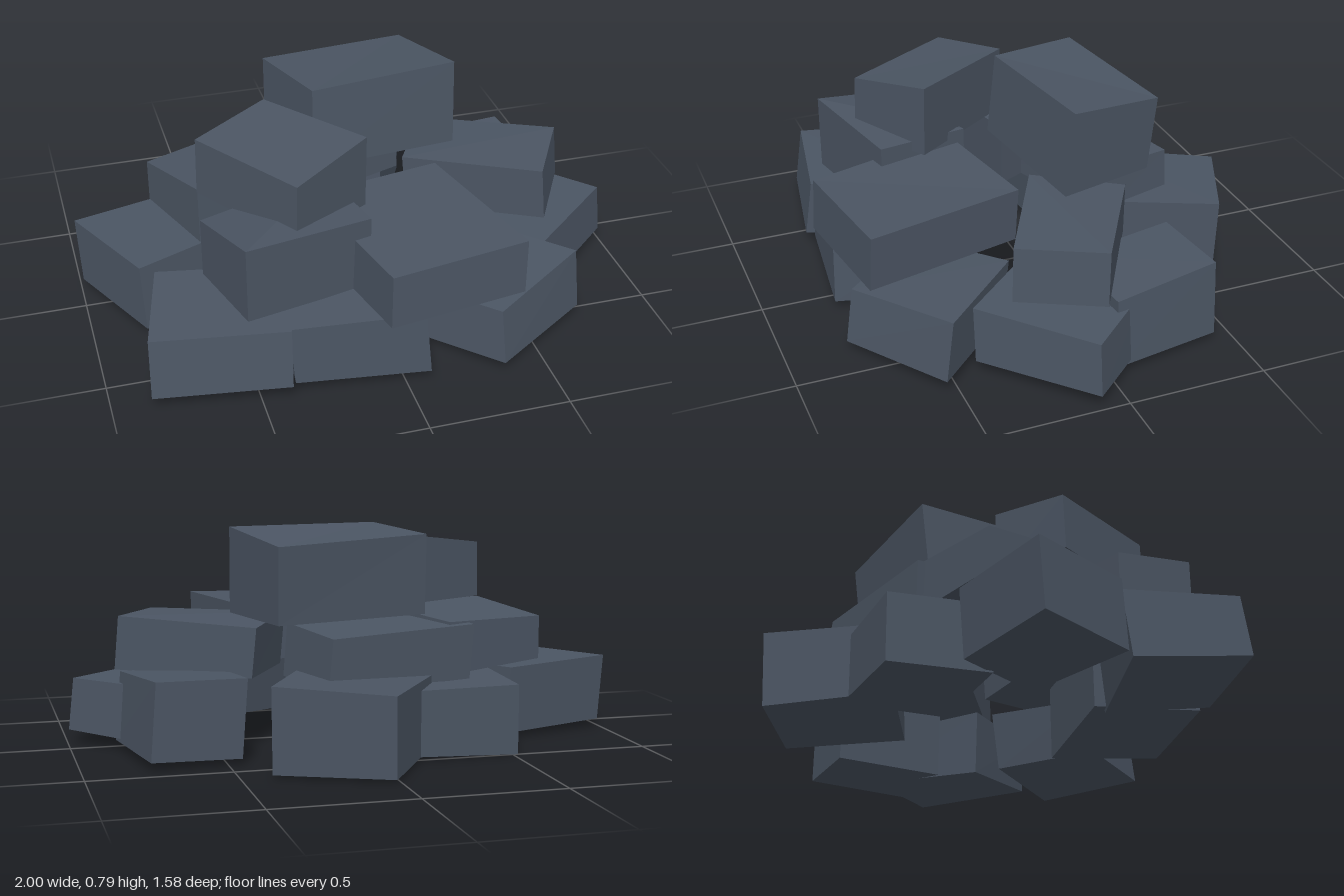
import * as THREE from 'three';

const slate = new THREE.MeshStandardMaterial({ color: 0x4b5563 });
slate.name = 'slate stone';

// A rough hewn block. Corners run back-left, back-right, front-right, front-left:
// plan = [x, z] of the top corners, top / base = heights, lean = shift of the base.
function block(name, plan, top, base, lean = [0, 0]) {
  const geo = new THREE.BoxGeometry(1, 1, 1).toNonIndexed();
  const pos = geo.attributes.position;
  for (let i = 0; i < pos.count; i++) {
    const right = pos.getX(i) > 0, front = pos.getZ(i) > 0, up = pos.getY(i) > 0;
    const c = front ? (right ? 2 : 3) : (right ? 1 : 0);
    const [x, z] = plan[c];
    if (up) pos.setXYZ(i, x, top[c], z);
    else pos.setXYZ(i, x + lean[0], base[c], z + lean[1]);
  }
  geo.computeVertexNormals();
  const mesh = new THREE.Mesh(geo, slate);
  mesh.name = name;
  return mesh;
}

export function createModel() {
  const pile = new THREE.Group();
  pile.name = 'stonePile';

  // Ground ring
  pile.add(
    block('groundFrontRight', [[-0.77, 0.23], [-0.31, 0.33], [-0.39, 0.70], [-0.86, 0.62]],
      [0.27, 0.28, 0.27, 0.265], [0.03, 0.02, 0.06, 0.05], [-0.005, 0.03]),
    block('groundFront', [[-0.36, 0.30], [0.12, 0.33], [0.07, 0.74], [-0.40, 0.69]],
      [0.28, 0.28, 0.275, 0.27], [0.03, 0.01, 0.04, 0.05], [0.02, 0.01]),
    block('groundFrontLeft', [[0.06, 0.45], [0.41, 0.20], [0.71, 0.51], [0.34, 0.75]],
      [0.23, 0.27, 0.27, 0.24], [0.03, 0.05, 0.05, 0.04], [0.01, 0.03]),
    block('groundLeft', [[0.72, -0.18], [0.975, 0.10], [0.62, 0.41], [0.36, 0.12]],
      [0.25, 0.25, 0.25, 0.25], [0.05, 0.06, 0.05, 0.01], [0.02, 0]),
    block('groundBackLeft', [[0.43, -0.40], [0.75, -0.43], [0.82, -0.03], [0.49, 0.01]],
      [0.31, 0.315, 0.29, 0.29], [0.03, 0.04, 0.04, 0.03], [0.02, 0]),
    block('groundBack', [[0.02, -0.80], [0.40, -0.63], [0.20, -0.23], [-0.23, -0.40]],
      [0.30, 0.32, 0.31, 0.29], [0.02, 0.02, 0.03, 0.03], [-0.005, 0.01]),
    block('groundBackRight', [[-0.52, -0.50], [-0.08, -0.53], [-0.07, -0.15], [-0.52, -0.13]],
      [0.26, 0.26, 0.27, 0.27], [0.01, 0.03, 0.03, 0.02]),
    block('groundRight', [[-1.0, -0.15], [-0.58, -0.27], [-0.42, 0.03], [-0.82, 0.21]],
      [0.29, 0.28, 0.27, 0.28], [0.04, 0.03, 0.02, 0.03], [0.01, 0.02]),
  );

  // Middle ring
  pile.add(
    block('middleFront', [[-0.20, 0.21], [0.30, 0.12], [0.44, 0.70], [-0.06, 0.765]],
      [0.48, 0.48, 0.48, 0.465], [0.28, 0.28, 0.28, 0.27], [-0.005, 0.01]),
    block('middleFrontRight', [[-0.61, 0.30], [-0.13, 0.17], [-0.06, 0.51], [-0.52, 0.62]],
      [0.50, 0.53, 0.54, 0.56], [0.28, 0.27, 0.27, 0.28]),
    block('middleRight', [[-0.71, -0.21], [-0.31, -0.36], [-0.13, 0.02], [-0.58, 0.10]],
      [0.46, 0.47, 0.50, 0.50], [0.30, 0.28, 0.27, 0.28]),
    block('middleBack', [[-0.40, -0.36], [0.16, -0.52], [0.25, -0.22], [-0.31, -0.04]],
      [0.46, 0.45, 0.47, 0.48], [0.26, 0.28, 0.28, 0.27], [0.015, 0]),
    block('middleLeft', [[0.37, -0.26], [0.82, 0.0], [0.66, 0.28], [0.20, 0.04]],
      [0.46, 0.485, 0.475, 0.475], [0.28, 0.29, 0.28, 0.28], [0.015, 0.01]),
  );

  // Capping stones
  pile.add(
    block('capFrontRight', [[-0.58, 0.11], [-0.30, -0.04], [-0.03, 0.35], [-0.32, 0.525]],
      [0.71, 0.75, 0.765, 0.715], [0.50, 0.50, 0.50, 0.50], [-0.005, 0.005]),
    block('capBack', [[-0.24, -0.30], [0.32, -0.40], [0.42, -0.04], [-0.14, 0.04]],
      [0.78, 0.755, 0.80, 0.80], [0.49, 0.48, 0.485, 0.50], [-0.005, 0.03]),
  );

  return pile;
}
